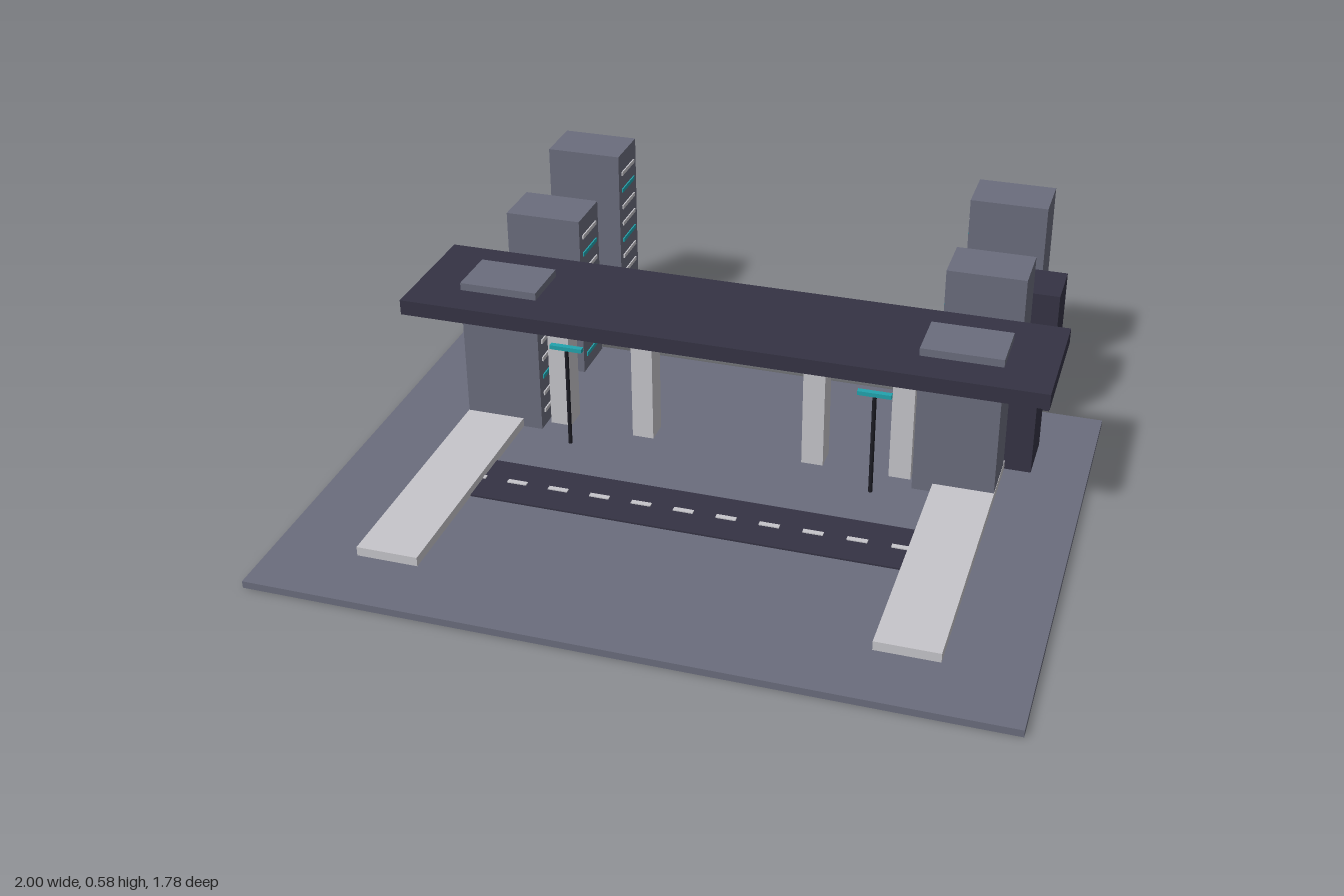
import * as THREE from 'three';

const mat = (name, color) => {
  const m = new THREE.MeshStandardMaterial({ color });
  m.name = name;
  return m;
};

export function createModel() {
  const model = new THREE.Group();
  model.name = 'cityBridge';
  const slate = mat('slate', 0x6b6d7d);
  const dark = mat('darkSlate', 0x353344);
  const pale = mat('paleConcrete', 0xc6c5ca);
  const teal = mat('tealLight', 0x22a3ad);
  const black = mat('poleBlack', 0x1c1c24);

  // Box given by its extents on each axis
  function box(name, material, [x0, x1], [y0, y1], [z0, z1], parent = model) {
    const mesh = new THREE.Mesh(new THREE.BoxGeometry(x1 - x0, y1 - y0, z1 - z0), material);
    mesh.position.set((x0 + x1) / 2, (y0 + y1) / 2, (z0 + z1) / 2);
    mesh.name = name;
    parent.add(mesh);
    return mesh;
  }
  // x extents centred on c with width w
  const span = (c, w) => [c - w / 2, c + w / 2];
  // x extents mirrored to the given side
  const sideSpan = (s, a, b) => (s > 0 ? [a, b] : [-b, -a]);

  // Ground, road and deck
  box('ground', slate, [-1, 1], [0, 0.02], [-0.55, 0.89]);
  box('road', dark, [-0.6, 0.6], [0.02, 0.025], [0.17, 0.355]);
  box('deck', dark, [-0.906, 0.906], [0.393, 0.437], [-0.3, 0.075]);

  // Lane dashes and the lights under the deck
  for (let i = 0; i < 11; i++) {
    box('laneDash', pale, span(-0.62 + i * 0.12, 0.056), [0.024, 0.028], [0.255, 0.27]);
    box('deckLight', teal, span(-0.625 + i * 0.125, 0.055), [0.382, 0.389], [0.003, 0.027]);
  }

  // Deck pillars
  for (const x of [-0.5, -0.25, 0.25, 0.5])
    box('pillar', pale, span(x, 0.062), [0.02, 0.394], [-0.145, -0.075]);

  // Buildings: inner x, height, whether dark
  const buildings = [
    [0.543, 0.459, false],
    [0.618, 0.335, true],
    [0.543, 0.521, false],
    [0.618, 0.397, true],
    [0.543, 0.583, false],
  ];

  for (const s of [-1, 1]) {
    box('walkway', pale, sideSpan(s, 0.6, 0.77), [0.02, 0.046], [-0.55, 0.7]);

    buildings.forEach(([inner, top, isDark], i) => {
      const tower = new THREE.Group();
      tower.name = 'building';
      model.add(tower);
      const z = -0.111 - i * 0.175;
      box('tower', isDark ? dark : slate, sideSpan(s, inner, inner + 0.226), [0.02, top], span(z, 0.157), tower);
      // Window strips on the inward face
      for (let row = 0, y = 0.07; y < top - 0.025; row++, y += 0.056)
        box('windowStrip', (row + i) % 3 === 2 ? teal : pale,
          sideSpan(s, inner - 0.004, inner + 0.003), span(y, 0.012), span(z, 0.11), tower);
    });

    // Street lamp
    const lamp = new THREE.Group();
    lamp.name = 'streetLamp';
    model.add(lamp);
    const pole = new THREE.Mesh(new THREE.CylinderGeometry(0.006, 0.006, 0.305, 8), black);
    pole.name = 'lampPole';
    pole.position.set(s * 0.438, 0.1725, 0.015);
    lamp.add(pole);
    box('lampHead', teal, span(s * 0.438, 0.094), [0.322, 0.334], [0.007, 0.023], lamp);
  }
  return model;
}
